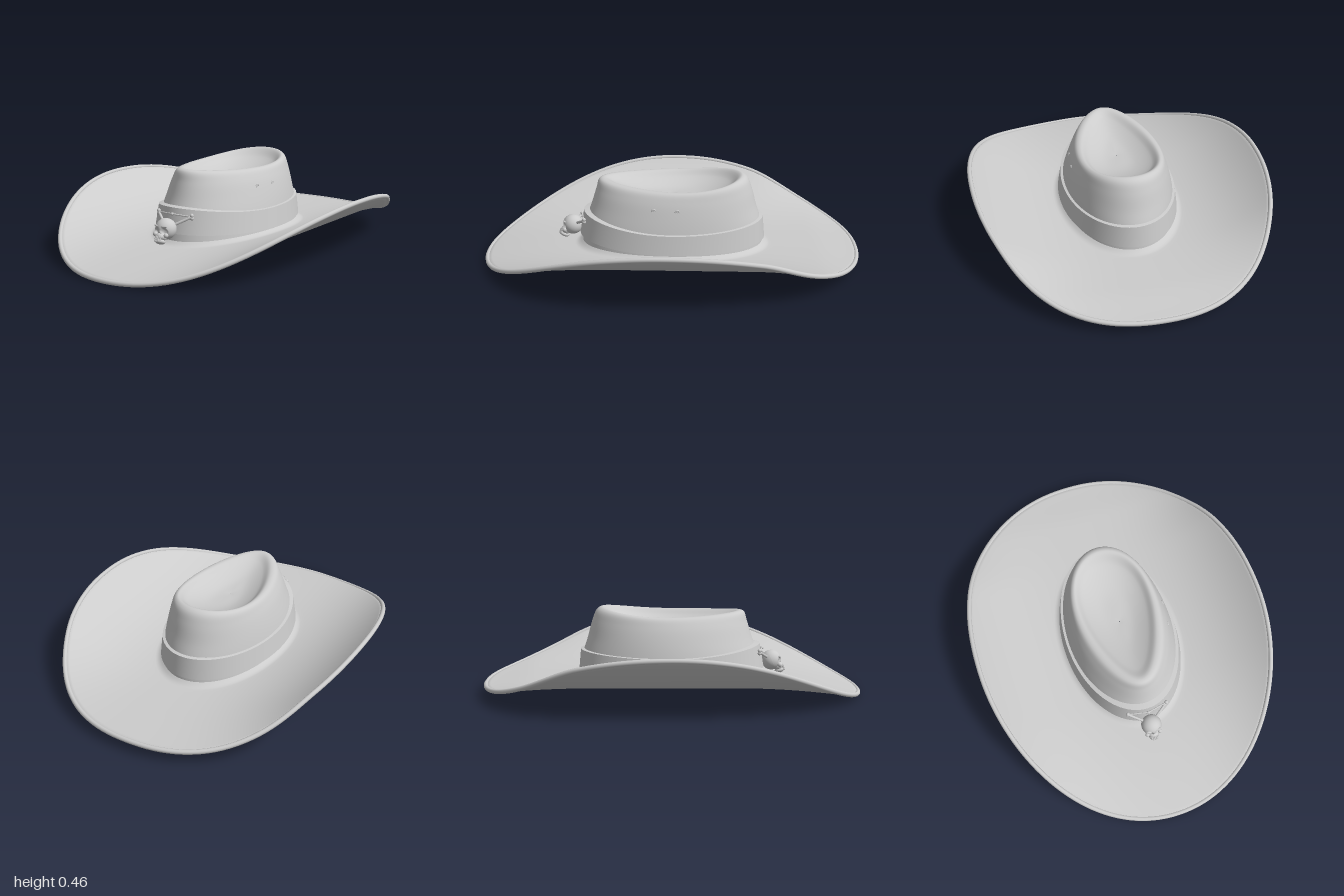
import * as THREE from 'three';
import { toCreasedNormals } from 'three/addons/utils/BufferGeometryUtils.js';

const SEG = 96;
const grey = new THREE.MeshStandardMaterial({ color: 0xcccccc, side: THREE.DoubleSide });
const V = (x, y, z) => new THREE.Vector3(x, y, z);

function add(parent, name, geometry, x = 0, y = 0, z = 0) {
  const mesh = new THREE.Mesh(geometry, grey);
  mesh.name = name;
  mesh.position.set(x, y, z);
  parent.add(mesh);
  return mesh;
}

// Skin between closed rings of SEG points each
function loft(rows) {
  const pos = [], index = [];
  rows.forEach(row => row.forEach(p => pos.push(p.x, p.y, p.z)));
  for (let i = 0; i < rows.length - 1; i++) {
    for (let j = 0; j < SEG; j++) {
      const k = (j + 1) % SEG;
      const a = i * SEG + j, b = i * SEG + k;
      index.push(a, b, b + SEG, a, b + SEG, a + SEG);
    }
  }
  const g = new THREE.BufferGeometry();
  g.setAttribute('position', new THREE.Float32BufferAttribute(pos, 3));
  g.setIndex(index);
  g.computeVertexNormals();
  return g;
}

const around = fn => Array.from({ length: SEG }, (_, j) => fn(j / SEG * Math.PI * 2));

// Egg-shaped ring: half width, front z, back z, taper to the front, heights at side, front, back
function egg(a, [w, front, back, taper, ySide, yFront, yBack]) {
  const c = Math.cos(a), s = Math.sin(a);
  const x = w * s * (1 - taper * c) / (1 + taper * taper * 0.4);
  const z = (front + back) / 2 + c * (front - back) / 2;
  return V(x, ySide + ((c > 0 ? yFront : yBack) - ySide) * c * c, z);
}

// Brim: rolled up at the sides, dipping to the front
function brimHeight(x, z) {
  const dip = z > 0.3 ? 0.06 * ((z - 0.3) / 0.7) ** 2 : 0;
  const backFade = 1 - 0.6 * THREE.MathUtils.smoothstep(-z, 0.45, 1);
  const backDip = 0.012 * THREE.MathUtils.smoothstep(-z, 0.75, 1);
  return 0.072 - dip - backDip + 0.506 * Math.abs(x) ** 3 * backFade;
}

const INNER = [0.3, 0.475, -0.49, 0, 0, 0, 0];

function brimPoint(a, s, lift) {
  const c = Math.cos(a), sn = Math.sin(a);
  const e = 2 / (c < 0 ? 2.2 : 2.03);
  const inner = egg(a, INNER);
  const ox = 0.77 * Math.sign(sn) * Math.abs(sn) ** e;
  const oz = 0.987 * Math.sign(c) * Math.abs(c) ** e;
  const x = inner.x + (ox - inner.x) * s, z = inner.z + (oz - inner.z) * s;
  const fillet = s < 0.08 ? 0.02 * (1 - s / 0.08) ** 2 : 0;
  return V(x, brimHeight(x, z) + lift + fillet, z);
}

function buildBrim(hat) {
  const steps = [0, 0.02, 0.04, 0.06, 0.08];
  for (let i = 1; i <= 20; i++) steps.push(0.08 + 0.92 * i / 20);
  const under = steps.map(s => around(a => brimPoint(a, s, -0.007)));
  const upper = steps.map(s => around(a => brimPoint(a, s, 0.007))).reverse();
  add(hat, 'brim', loft([...under, ...upper]));
  const edge = new THREE.CatmullRomCurve3(around(a => brimPoint(a, 1, 0)), true);
  add(hat, 'brimBinding', new THREE.TubeGeometry(edge, 160, 0.012, 10, true));
}

// Crown: tapered wall, rounded shoulder and a teardrop dent on top
function buildCrown(hat) {
  const rings = [
    [0.3, 0.475, -0.49, 0, 0.088, 0.075, 0.075],
    [0.285, 0.455, -0.48, 0, 0.2, 0.2, 0.2],
    [0.262, 0.42, -0.45, 0.05, 0.3, 0.3, 0.3],
    [0.237, 0.395, -0.425, 0.1, 0.375, 0.38, 0.39],
    [0.215, 0.378, -0.4, 0.18, 0.415, 0.43, 0.445],
    [0.192, 0.352, -0.37, 0.28, 0.42, 0.438, 0.458],
    [0.155, 0.29, -0.31, 0.35, 0.39, 0.41, 0.41],
    [0.08, 0.15, -0.18, 0.35, 0.36, 0.37, 0.365],
    [0.002, 0.0, -0.005, 0, 0.352, 0.352, 0.352],
  ];
  const N = 48;
  const columns = around(a =>
    new THREE.CatmullRomCurve3(rings.map(r => egg(a, r))));
  const rows = [];
  for (let i = 0; i <= N; i++) rows.push(columns.map(c => c.getPoint(i / N)));
  add(hat, 'crown', loft(rows));
}

// Hat band, a little higher at the front
function buildBand(hat) {
  const rings = [
    [0.285, 0.46, -0.475, 0, 0.12, 0.135, 0.12],
    [0.309, 0.487, -0.5, 0, 0.12, 0.135, 0.12],
    [0.294, 0.464, -0.489, 0, 0.22, 0.262, 0.235],
    [0.268, 0.43, -0.46, 0, 0.224, 0.266, 0.239],
  ];
  add(hat, 'hatBand', toCreasedNormals(loft(rings.map(r => around(a => egg(a, r)))), 0.7));
}

// Vent eyelets on the left wall
function buildEyelets(hat) {
  for (const [x, z] of [[0.238, 0.08], [0.249, -0.04]]) {
    const eyelet = new THREE.Group();
    eyelet.name = 'ventEyelet';
    eyelet.position.set(x, 0.335, z);
    eyelet.rotation.set(0, Math.PI / 2 - z * 0.8, 0);
    add(eyelet, 'eyeletRing', new THREE.TorusGeometry(0.01, 0.004, 8, 20));
    add(eyelet, 'eyeletCentre', new THREE.SphereGeometry(0.009, 12, 8)).scale.z = 0.4;
    hat.add(eyelet);
  }
}

function rod(parent, name, from, to, r) {
  add(parent, name, new THREE.TubeGeometry(new THREE.LineCurve3(from, to), 1, r, 10));
}

// Skull ornament with bones spreading to the band
function buildOrnament(hat) {
  const ornament = new THREE.Group();
  ornament.name = 'skullOrnament';
  hat.add(ornament);

  const skull = new THREE.Group();
  skull.name = 'skull';
  skull.position.set(0, 0.167, 0.528);
  skull.rotation.x = -0.4;
  ornament.add(skull);

  // Cranium with eye sockets and nose pressed in
  const g = new THREE.SphereGeometry(0.053, 48, 36);
  const p = g.attributes.position;
  const dents = [[-0.022, -0.018, 0.017], [0.022, -0.018, 0.017], [0, -0.038, 0.009]];
  for (let i = 0; i < p.count; i++) {
    let x = p.getX(i), y = p.getY(i), z = p.getZ(i);
    if (z > 0) {
      for (const [dx, dy, r] of dents) {
        const d = Math.hypot(x - dx, y - dy) / r;
        if (d < 1) z -= 0.02 * (1 - d ** 4);
      }
    }
    p.setXYZ(i, x, y, z);
  }
  g.computeVertexNormals();
  add(skull, 'cranium', g);
  const jawShape = new THREE.SphereGeometry(0.03, 20, 14);
  add(skull, 'upperJaw', jawShape, 0, -0.046, 0.022).scale.set(0.95, 0.65, 0.9);
  add(skull, 'lowerJaw', jawShape, 0, -0.068, 0.022).scale.set(0.9, 0.5, 0.95);
  for (const side of [-1, 1]) {
    add(skull, 'cheekbone', new THREE.SphereGeometry(0.012, 14, 10), side * 0.034, -0.036, 0.03);
    const brow = add(skull, 'browRidge', new THREE.SphereGeometry(0.016, 14, 10), side * 0.022, 0.002, 0.045);
    brow.scale.set(1.1, 0.35, 0.5);
    brow.rotation.z = side * 0.25;
  }
  const tooth = new THREE.CapsuleGeometry(0.0035, 0.01, 4, 8);
  for (let i = -2; i <= 2; i++) {
    const z = 0.049 - 0.0015 * i * i;
    add(skull, 'upperTooth', tooth, i * 0.0078, -0.054, z);
    add(skull, 'lowerTooth', tooth, i * 0.0078, -0.068, z);
  }

  // Cord and bones
  for (const side of [-1, 1]) {
    const end = V(side * 0.105, 0.226, 0.455);
    rod(ornament, 'bone', end, V(side * 0.03, 0.185, 0.505), 0.007);
    rod(ornament, 'cord', end, V(0, 0.232, 0.478), 0.004);
    for (const dy of [-0.007, 0.007]) {
      add(ornament, 'boneKnob', new THREE.SphereGeometry(0.01, 14, 10), end.x, end.y + dy, end.z);
    }
  }
  add(ornament, 'cordBead', new THREE.SphereGeometry(0.008, 14, 10), 0, 0.232, 0.478);
}

export function createModel() {
  const hat = new THREE.Group();
  hat.name = 'hat';
  buildBrim(hat);
  buildCrown(hat);
  buildBand(hat);
  buildEyelets(hat);
  buildOrnament(hat);
  return hat;
}
